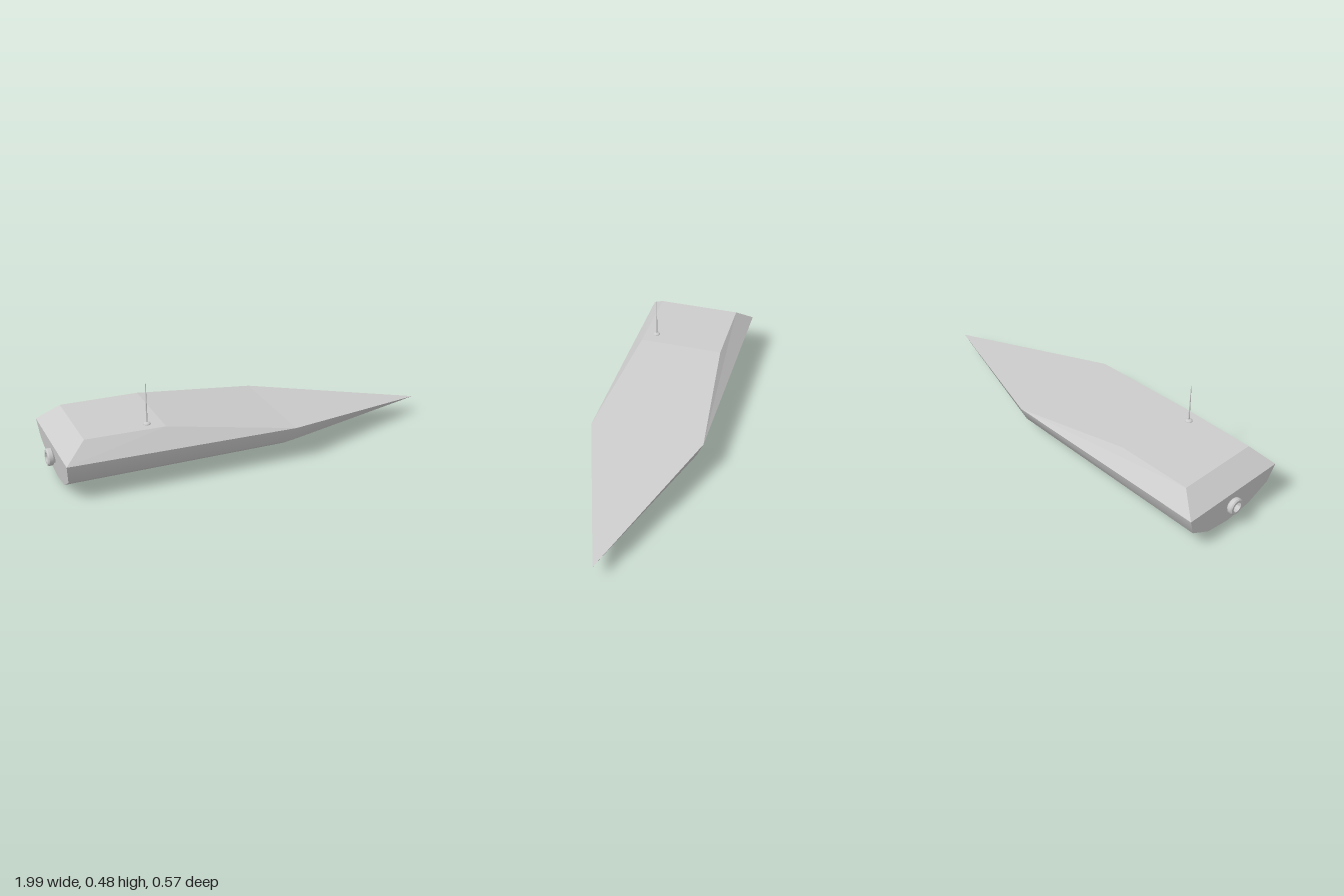
import * as THREE from 'three';
import { toCreasedNormals } from 'three/addons/utils/BufferGeometryUtils.js';

const grey = new THREE.MeshStandardMaterial({ color: 0xcccccc });
const black = new THREE.MeshStandardMaterial({ color: 0x111111 });

// Triangulates convex polygons given as lists of [x, y, z] corners
function facets(polygons) {
  const pos = [];
  for (const p of polygons) {
    for (let i = 1; i < p.length - 1; i++) pos.push(...p[0], ...p[i], ...p[i + 1]);
  }
  const geo = new THREE.BufferGeometry();
  geo.setAttribute('position', new THREE.Float32BufferAttribute(pos, 3));
  geo.computeVertexNormals();
  return geo;
}

function addMesh(parent, name, geo, material = grey) {
  const mesh = new THREE.Mesh(geo, material);
  mesh.name = name;
  parent.add(mesh);
  return mesh;
}

export function createModel() {
  const model = new THREE.Group();
  model.name = 'boat';

  // Hull cross-sections run from the left sheer, under the keel, to the right sheer
  const tip = [0.985, 0.085, 0];
  const section = (xAt, sheerY) => {
    const half = [[0.285, sheerY], [0.253, 0.1], [0.136, 0.03], [0, 0.01]];
    const mirrored = half.slice(0, 3).reverse().map(([z, y]) => [-z, y]);
    return [...half, ...mirrored].map(([z, y]) => [xAt(y), y, z]);
  };
  const stern = section((y) => -0.953 - 0.12 * (y - 0.01), 0.193);
  const mid = section(() => 0.155, 0.175);

  // Smooth lower hull, tapering to a pointed bow
  const skin = [];
  for (let i = 0; i < stern.length - 1; i++) {
    skin.push([stern[i], stern[i + 1], mid[i + 1], mid[i]]);
    skin.push([mid[i], mid[i + 1], tip]);
  }
  addMesh(model, 'hull', toCreasedNormals(facets(skin), Math.PI / 4));
  addMesh(model, 'transom', facets([[...stern].reverse()]));

  // Faceted deck
  const corners = (s) => ({
    stern: [-0.975, 0.193, s * 0.285],
    mid: [0.155, 0.175, s * 0.285],
    ridge: [-0.48, 0.272, s * 0.213],
    back: [-0.87, 0.277, s * 0.21],
  });
  const L = corners(1), R = corners(-1);
  addMesh(model, 'deck', facets([
    [L.stern, L.mid, L.ridge, L.back],
    [R.back, R.ridge, R.mid, R.stern],
    [L.back, L.ridge, R.ridge, R.back],
    [L.ridge, L.mid, R.mid, R.ridge],
    [L.mid, tip, R.mid],
    [R.stern, L.stern, L.back, R.back],
  ]));

  // Stern nozzle with a recessed opening
  const profile = [[0.026, -0.01], [0.032, 0.004], [0.041, 0.012], [0.042, 0.03],
    [0.037, 0.036], [0.025, 0.036], [0.021, 0.012], [0, 0.012]];
  const nozzleGeo = new THREE.LatheGeometry(profile.map(([r, y]) => new THREE.Vector2(r, y)), 24);
  const nozzle = addMesh(model, 'nozzle', toCreasedNormals(nozzleGeo, Math.PI / 6));
  nozzle.rotation.z = Math.PI / 2;
  nozzle.position.set(-0.964, 0.118, 0);

  // Whip antenna on a domed base
  const antenna = new THREE.Group();
  antenna.name = 'antenna';
  antenna.position.set(-0.553, 0.273, 0.153);
  model.add(antenna);
  const dome = addMesh(antenna, 'antennaBase',
    new THREE.SphereGeometry(0.018, 20, 6, 0, Math.PI * 2, 0, Math.PI / 2));
  dome.scale.y = 0.55;
  const rod = addMesh(antenna, 'antennaRod', new THREE.CylinderGeometry(0.0015, 0.004, 0.204, 10));
  rod.position.y = 0.102;

  // Two round-cornered pads under the hull, tilted to follow its bottom
  const len = 0.12, wid = 0.0225, r = 0.014;
  const outline = new THREE.Shape();
  outline.absarc(len - r, wid - r, r, 0, Math.PI / 2);
  outline.absarc(-len + r, wid - r, r, Math.PI / 2, Math.PI);
  outline.absarc(-len + r, -wid + r, r, Math.PI, Math.PI * 1.5);
  outline.absarc(len - r, -wid + r, r, Math.PI * 1.5, Math.PI * 2);
  const padGeo = new THREE.ExtrudeGeometry(outline, { depth: 0.013, bevelEnabled: false, curveSegments: 6 });
  padGeo.translate(0, 0, -0.0065).rotateX(-Math.PI / 2);
  for (const s of [1, -1]) {
    const pad = addMesh(model, s > 0 ? 'leftPad' : 'rightPad', padGeo, black);
    pad.position.set(-0.38, 0.0115, s * 0.074);
    pad.rotation.x = -s * 0.21;
  }
  return model;
}
